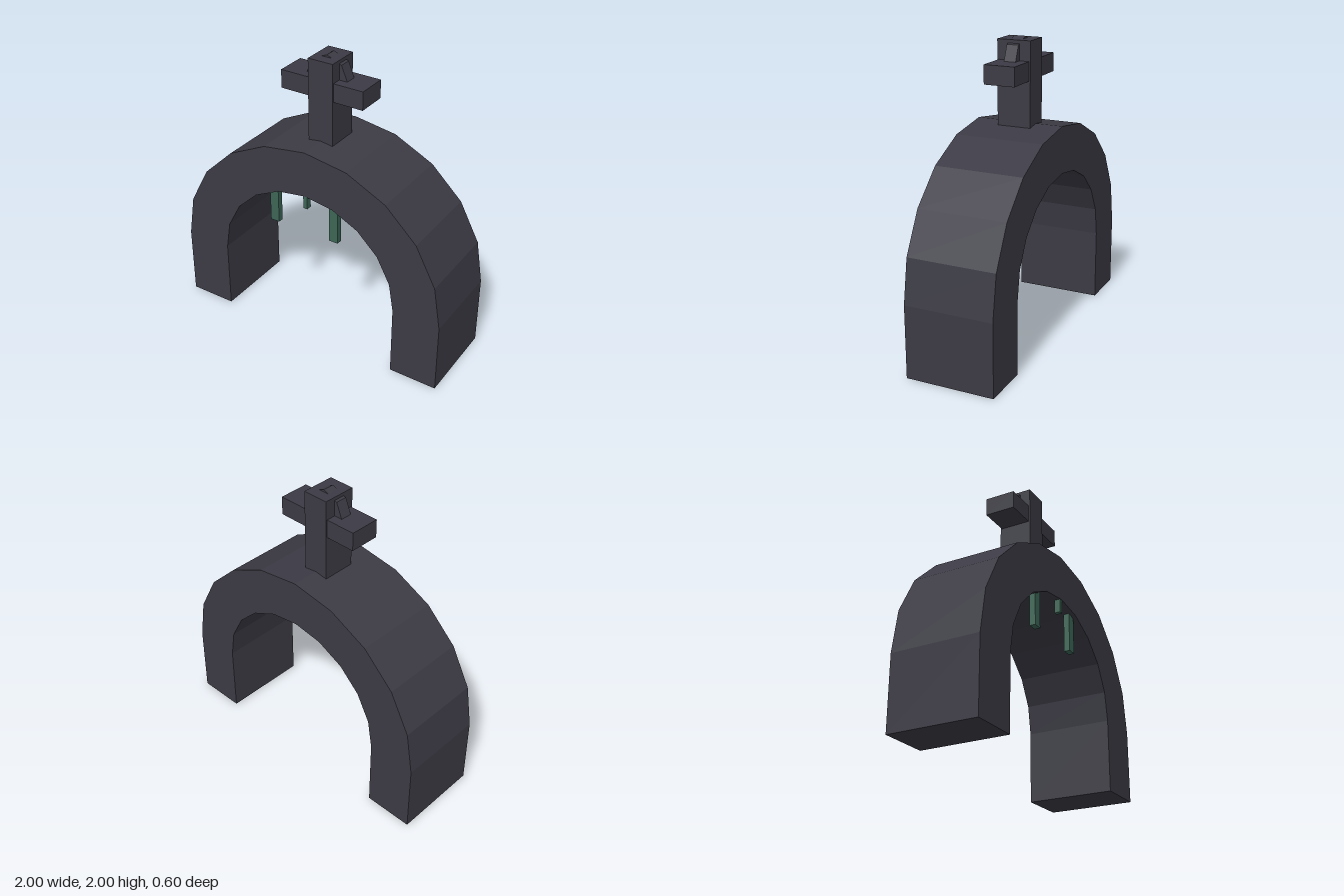
import * as THREE from 'three';

const stone = new THREE.MeshStandardMaterial({ color: 0x3c3b45 });
stone.name = 'dark stone';
const moss = new THREE.MeshStandardMaterial({ color: 0x3c6656 });
moss.name = 'moss green';

export function createModel() {
  const model = new THREE.Group();
  model.name = 'archway';

  const add = (name, geometry, material, x = 0, y = 0, z = 0) => {
    const mesh = new THREE.Mesh(geometry, material);
    mesh.name = name;
    mesh.position.set(x, y, z);
    model.add(mesh);
    return mesh;
  };
  // Box given by its centre in x and z and its bottom and top heights
  const addBox = (name, material, width, depth, bottom, top, x = 0, z = 0) =>
    add(name, new THREE.BoxGeometry(width, top - bottom, depth), material, x, (bottom + top) / 2, z);

  // Faceted arch on two straight legs
  const steps = 10, spring = 0.49, squash = 0.95, inner = 0.667;
  const arcPoint = (radius, i) => {
    const a = (i / steps) * Math.PI;
    return new THREE.Vector2(radius * Math.cos(a), spring + radius * squash * Math.sin(a));
  };
  const outline = [new THREE.Vector2(1, 0)];
  for (let i = 0; i <= steps; i++) outline.push(arcPoint(1, i));
  outline.push(new THREE.Vector2(-1, 0), new THREE.Vector2(-inner, 0));
  for (let i = steps; i >= 0; i--) outline.push(arcPoint(inner, i));
  outline.push(new THREE.Vector2(inner, 0));
  const arch = new THREE.ExtrudeGeometry(new THREE.Shape(outline), { depth: 0.6, bevelEnabled: false });
  arch.translate(0, 0, -0.3);
  add('arch', arch, stone);

  // Cross on the crown, with an eight-sided disc behind the arms
  addBox('crossPost', stone, 0.18, 0.23, 1.38, 1.985);
  addBox('crossArms', stone, 0.6, 0.21, 1.73, 1.855);
  const disc = new THREE.CylinderGeometry(0.15, 0.15, 0.08, 8).toNonIndexed();
  disc.rotateX(Math.PI / 2);
  disc.computeVertexNormals();
  add('crossDisc', disc, stone, 0, 1.85, 0);

  // Hanging strands under the front of the arch
  addBox('rightStrand', moss, 0.065, 0.04, 0.83, 1.2, -0.267, 0.245);
  addBox('leftStrand', moss, 0.065, 0.04, 0.83, 1.2, 0.198, 0.25);
  addBox('middleStrand', moss, 0.03, 0.04, 1.03, 1.2, 0, 0.275);

  return model;
}
